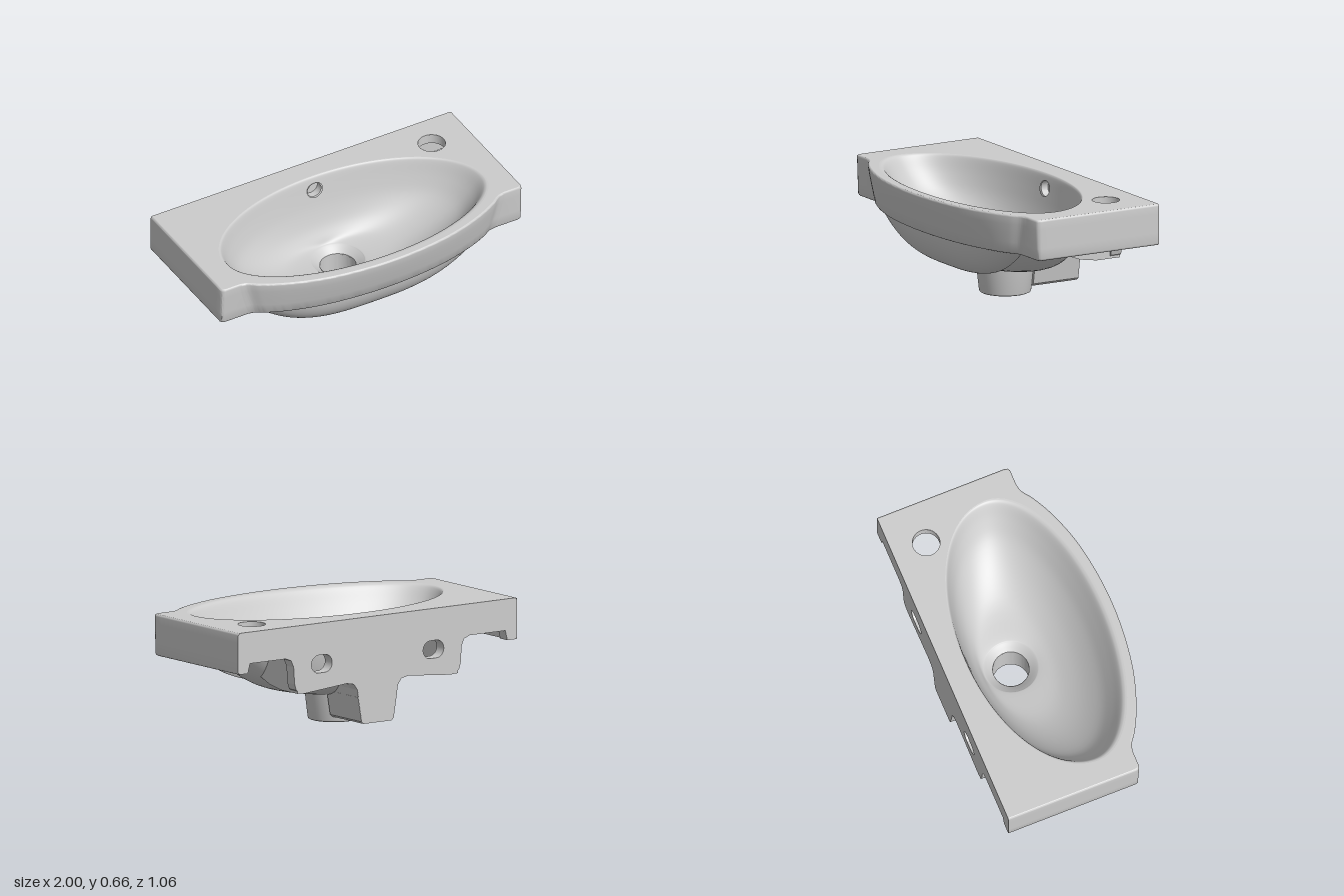
import * as THREE from 'three';
import { mergeVertices, toCreasedNormals } from 'three/addons/utils/BufferGeometryUtils.js';

const ceramic = new THREE.MeshStandardMaterial({ color: 0xcccccc, side: THREE.DoubleSide });
ceramic.name = 'ceramic';

const V = (x, y, z = 0) => new THREE.Vector3(x, y, z);

// Surface from a grid of points; skip(i, j) leaves cells open
function grid(nu, nv, point, crease = 0, skip = () => false) {
  const pos = [], index = [];
  for (let j = 0; j <= nv; j++) for (let i = 0; i <= nu; i++) pos.push(...point(i, j));
  for (let j = 0; j < nv; j++) for (let i = 0; i < nu; i++) {
    if (skip(i, j)) continue;
    const a = j * (nu + 1) + i, b = a + nu + 1;
    index.push(a, a + 1, b, a + 1, b + 1, b);
  }
  let geo = new THREE.BufferGeometry();
  geo.setAttribute('position', new THREE.Float32BufferAttribute(pos, 3));
  geo.setIndex(index);
  geo = mergeVertices(geo, 1e-5);
  geo.computeVertexNormals();
  return crease ? toCreasedNormals(geo, crease) : geo;
}

// Oval bowl sections: [y, half width, back z, front z]
const innerRows = [
  [0.66, 0.86, -0.40, 0.485], [0.656, 0.846, -0.393, 0.467], [0.635, 0.828, -0.385, 0.445],
  [0.55, 0.775, -0.37, 0.40], [0.45, 0.69, -0.35, 0.34], [0.35, 0.54, -0.32, 0.25],
  [0.28, 0.37, -0.285, 0.15], [0.25, 0.18, -0.27, 0.07], [0.24, 0.15, -0.255, 0.045],
  [0.205, 0.105, -0.21, 0.0],
];
const outerRows = [
  [0.60, 0.835, -0.425, 0.45], [0.50, 0.79, -0.42, 0.41], [0.42, 0.73, -0.415, 0.365],
  [0.30, 0.61, -0.39, 0.27], [0.22, 0.46, -0.345, 0.19], [0.175, 0.27, -0.28, 0.10],
  [0.165, 0.12, -0.225, 0.015],
];

// Point on an oval whose widest line lies forward of the middle for large sizes
function oval(a, zb, zf, u) {
  const c = zb + (zf - zb) * (0.5 + 0.06 * a), s = Math.sin(u);
  return [a * Math.cos(u), c + s * (s > 0 ? zf - c : c - zb)];
}

const ovalLoop = ([, a, zb, zf], n) => Array.from({ length: n },
  (_, i) => new THREE.Vector2(...oval(a, zb, zf, (i / n) * Math.PI * 2)));

function bowl(rows, nu, hole) {
  const nv = 4 * (rows.length - 1);
  const size = new THREE.CatmullRomCurve3(rows.map(r => V(r[0], r[1])), false, 'catmullrom');
  const ends = new THREE.CatmullRomCurve3(rows.map(r => V(r[2], r[3])), false, 'catmullrom');
  const point = (i, j) => {
    if (hole) { // bend the grid square round the hole into a circle
      const di = i - hole[0], dj = j - hole[1];
      if (Math.max(Math.abs(di), Math.abs(dj)) === 2) {
        const s = 2 / Math.hypot(di, dj);
        i = hole[0] + di * s;
        j = hole[1] + dj * s;
      }
    }
    const p = size.getPoint(j / nv), e = ends.getPoint(j / nv);
    const [x, z] = oval(p.y, e.x, e.y, ((i % nu) / nu) * Math.PI * 2);
    return [x, p.x, z];
  };
  const skip = (i, j) => hole && i >= hole[0] - 2 && i < hole[0] + 2 && j >= hole[1] - 2 && j < hole[1] + 2;
  return grid(nu, nv, point, 0, skip);
}

// Plan outline, from back left round the bulging front to back right
const half = [[0.885, 0.292], [0.84, 0.304], [0.78, 0.346], [0.655, 0.41], [0.45, 0.479], [0.22, 0.518]];
const mirror = list => list.map(([x, y]) => [-x, y]).reverse();
const front = new THREE.CatmullRomCurve3(
  [...half, [0, 0.53], ...mirror(half)].map(([x, z]) => V(x, z))).getPoints(96).map(p => [p.x, p.y]);
const side = [[1, -0.53], [1, 0.22], [1, 0.267], [0.994, 0.285], [0.98, 0.292]];
const outline = [...side, ...front, ...mirror(side)];

// Taper k narrows the bulge downwards; d insets the edge
function outlineAt(k, d) {
  return outline.map(([x, z]) => {
    if (Math.abs(x) < 0.9) x *= 1 - 0.07 * k;
    if (z > 0.25) z = 0.25 + (z - 0.25) * (1 - 0.24 * k);
    return [x * (1 - d), -0.53 + (z + 0.53) * (1 - d)];
  });
}
const innerLoop = (k, s) => outlineAt(k, 0).map(([x, z]) => [x * 0.95, -0.47 + (z + 0.53) * s]);
const lipLoop = innerLoop(1, 0.864), ceilingLoop = innerLoop(0.25, 0.905);

function plate(points, y, opening) {
  const shape = new THREE.Shape(points.map(([x, z]) => new THREE.Vector2(x, z)));
  shape.holes.push(new THREE.Path(opening));
  shape.holes.push(new THREE.Path().absarc(0.75, -0.325, 0.08, 0, Math.PI * 2, true));
  return new THREE.ShapeGeometry(shape, 24).rotateX(Math.PI / 2).translate(0, y, 0);
}

function extrude(points, depth, holes = []) {
  const shape = new THREE.Shape(points.map(([x, y]) => new THREE.Vector2(x, y)));
  shape.holes.push(...holes);
  return new THREE.ExtrudeGeometry(shape, { depth, bevelEnabled: false, curveSegments: 16 });
}

export function createModel() {
  const model = new THREE.Group();
  model.name = 'washbasin';
  const add = (name, geometry) => {
    const mesh = new THREE.Mesh(geometry, ceramic);
    mesh.name = name;
    model.add(mesh);
    return mesh;
  };

  // Deck: top, rim wall with turned-in lower lip, hollow underside
  add('deckTop', plate(outlineAt(0, 0.01), 0.66, ovalLoop(innerRows[0], 192)));
  add('deckUnderside', plate(ceilingLoop, 0.60, ovalLoop(outerRows[0], 128)));
  const wall = [[0.66, 0.01], [0.658, 0.005], [0.653, 0.001], [0.646, 0], [0.6, 0], [0.55, 0], [0.49, 0],
    [0.429, 0], [0.421, 0.003], [0.417, 0.01]]
    .map(([y, d]) => [y, outlineAt(((0.66 - y) / 0.243) ** 1.2, d)]);
  wall.push([0.417, lipLoop], [0.6, ceilingLoop]);
  add('rimWall', grid(outline.length - 1, wall.length - 1, (i, j) => {
    const [x, z] = wall[j][1][i];
    return [x, wall[j][0], z];
  }, 0.8));
  add('tapHole', new THREE.CylinderGeometry(0.08, 0.08, 0.06, 40, 1, true).translate(0.75, 0.63, -0.325));

  // Basin inside and outside, with overflow
  add('bowlInside', bowl(innerRows, 192, [144, 11]));
  add('bowlOutside', bowl(outerRows, 128));
  add('overflow', new THREE.CylinderGeometry(0.047, 0.047, 0.05, 24, 1, true)
    .rotateX(Math.PI / 2).translate(0, 0.572, -0.402));

  // Front apron, its lip turning back up into a valley against the bowl
  const arc = (i, w, d) => {
    const s = -Math.cos((i / 64) * Math.PI);
    return [s * w, 0.42 - d * (1 - Math.abs(s) ** 3)];
  };
  add('apron', grid(64, 24, (i, j) => {
    const t = (j / 24) * Math.PI / 2, c = Math.max(Math.cos(t), 0);
    const [x, y] = arc(i, 0.75 * c ** 0.6, 0.23 * c);
    return [x, y, 0.235 + 0.155 * Math.sin(t)];
  }));
  const lip = [[0.75, 0.23, 0.235], [0.745, 0.226, 0.229], [0.73, 0.21, 0.224],
    [0.70, 0.19, 0.215], [0.66, 0.175, 0.195]];
  add('apronLip', grid(64, lip.length - 1, (i, j) => {
    const [w, d, z] = lip[j];
    return [...arc(i, w, d), z];
  }));

  // Drain outlet
  const drain = [[0.172, 0.185], [0.168, 0.16], [0.151, 0.014], [0.148, 0.004], [0.14, 0],
    [0.105, 0], [0.105, 0.21]].map(([x, y]) => new THREE.Vector2(x, y));
  add('drain', toCreasedNormals(new THREE.LatheGeometry(drain, 64), 0.7)).position.z = -0.105;

  // Stepped back wall with two oblong fixing holes
  const edge = [[0.988, 0.6595], [0.9995, 0.646], [0.9995, 0.429], [0.988, 0.4175], [0.93, 0.4175],
    [0.915, 0.475], [0.66, 0.475], [0.62, 0.46], [0.602, 0.42], [0.595, 0.32], [0.583, 0.283],
    [0.55, 0.262], [0.52, 0.259], [0.22, 0.285], [0.17, 0.275], [0.145, 0.24], [0.115, 0.05], [0.1, 0.037]];
  const slots = [-0.4, 0.4].map(x => new THREE.Path()
    .absarc(x + 0.022, 0.42, 0.052, -Math.PI / 2, Math.PI / 2, false)
    .absarc(x - 0.022, 0.42, 0.052, Math.PI / 2, Math.PI * 1.5, false));
  add('backWall', extrude([...edge, ...mirror(edge)], 0.07, slots)).position.z = -0.53;

  // Central block joining wall, bowl and drain
  const low = [[0.14, 0.195], [0.115, 0.05], [0.1, 0.036]];
  const high = [[0.165, 0.28], [0.145, 0.24], [0.138, 0.19]];
  add('drainBlock', extrude([...low, ...mirror(low)], 0.304)).position.z = -0.529;
  add('drainBlockTop', extrude([...high, ...mirror(high)], 0.225)).position.z = -0.529;

  // Side brackets between wall and bowl, profile in (z, y)
  const bracket = [[-0.529, 0.262], [-0.37, 0.262], [-0.26, 0.28], [-0.165, 0.315],
    [-0.2, 0.36], [-0.22, 0.42], [-0.32, 0.5], [-0.34, 0.6], [-0.529, 0.6]].map(([z, y]) => [-z, y]);
  for (const x of [-0.575, 0.52]) {
    add(x > 0 ? 'leftBracket' : 'rightBracket', extrude(bracket, 0.055).rotateY(Math.PI / 2)).position.x = x;
  }
  return model;
}
